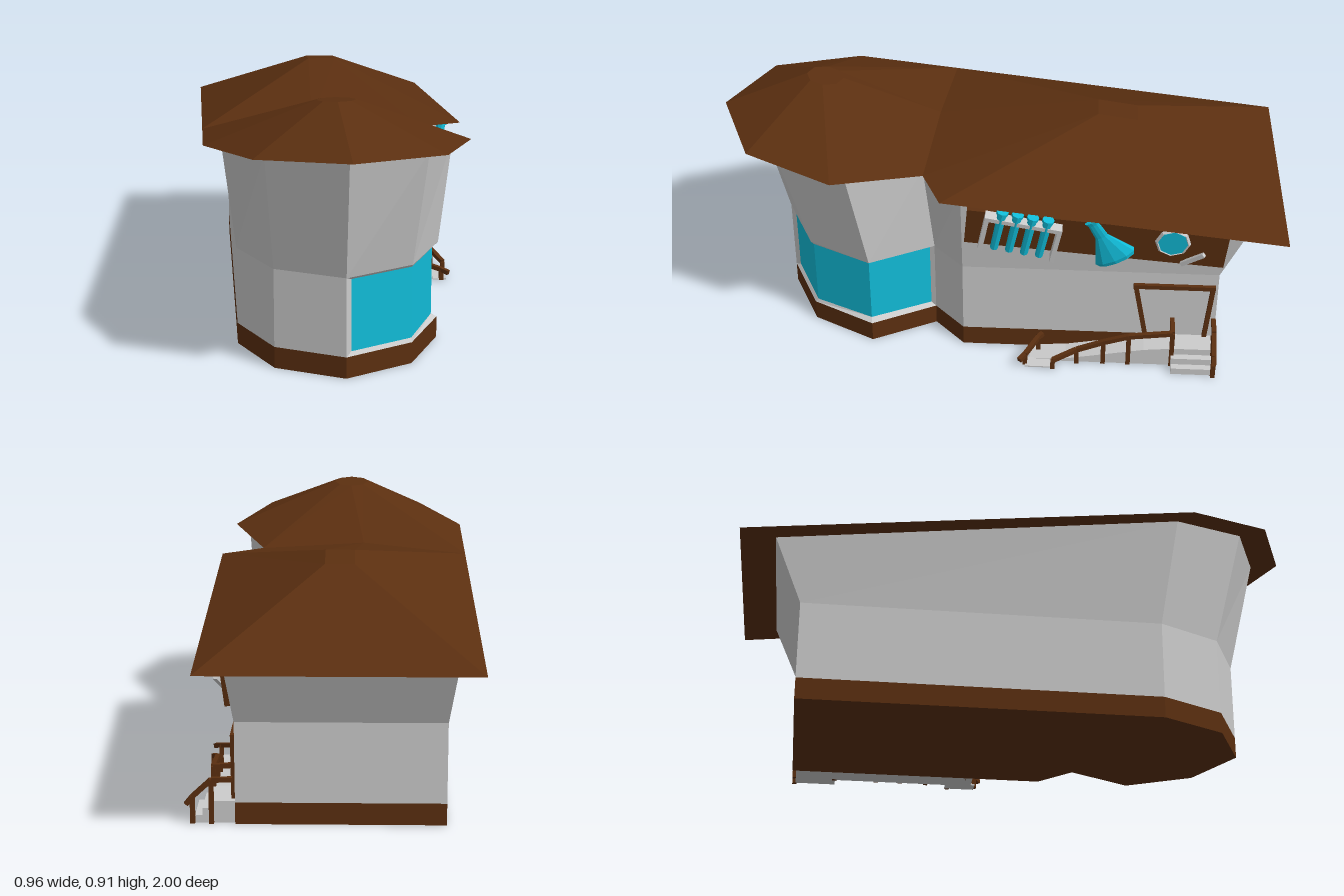
import * as THREE from 'three';

const GREY = new THREE.MeshStandardMaterial({ color: 0xcccccc, flatShading: true });
const BROWN = new THREE.MeshStandardMaterial({ color: 0x5b2f10, flatShading: true });
const CYAN = new THREE.MeshStandardMaterial({ color: 0x11bcd8, flatShading: true });

const V = (x, y, z) => new THREE.Vector3(x, y, z);

function triangles(tris) {
  const geo = new THREE.BufferGeometry().setFromPoints(tris);
  geo.computeVertexNormals();
  return geo;
}

// Quads joining two loops (counter-clockwise seen from outside/above)
function loft(a, b, keep = () => true, closed = true) {
  const out = [];
  const n = a.length;
  for (let i = 0; i < (closed ? n : n - 1); i++) {
    if (!keep(i)) continue;
    const j = (i + 1) % n;
    out.push(a[i], a[j], b[j]);
    out.push(a[i], b[j], b[i]);
  }
  return triangles(out);
}

function cap(loop, up) {
  const flat = loop.map((p) => new THREE.Vector2(p.x, -p.z));
  const out = [];
  for (const [a, b, c] of THREE.ShapeUtils.triangulateShape(flat, [])) {
    out.push(loop[a], loop[up ? b : c], loop[up ? c : b]);
  }
  return triangles(out);
}

function add(parent, name, geo, mat, x = 0, y = 0, z = 0) {
  const mesh = new THREE.Mesh(geo, mat);
  mesh.name = name;
  mesh.position.set(x, y, z);
  parent.add(mesh);
  return mesh;
}

function group(parent, name) {
  const g = new THREE.Group();
  g.name = name;
  parent.add(g);
  return g;
}

// Square bar between two points
function beam(parent, name, a, b, t = 0.016, mat = BROWN) {
  const m = add(parent, name, new THREE.BoxGeometry(t, t, a.distanceTo(b)), mat);
  m.position.copy(a).lerp(b, 0.5);
  m.lookAt(b);
  return m;
}

function buildWalls(root) {
  const plan = [[-0.03, 0.795], [0.2, 0.685], [0.317, 0.46], [0.2, 0.235], [0.317, 0.125],
    [0.317, -0.785], [-0.375, -0.785], [-0.375, 0.46], [-0.26, 0.685]];
  const flare = [[-0.03, 0.898], [0.235, 0.785], [0.35, 0.523], [0.235, 0.265], [0.357, 0.125],
    [0.345, -0.88], [-0.405, -0.88], [-0.42, 0.523], [-0.29, 0.785]];
  const ring = (y) => plan.map(([x, z]) => V(x, y, z));
  const low = ring(0.075), mid = ring(0.35);
  const top = flare.map(([x, z]) => V(x, 0.676 + 0.1125 * z, z));

  const base = group(root, 'plinth');
  add(base, 'plinthSides', loft(ring(0), low), BROWN);
  add(base, 'plinthUnderside', cap(ring(0), false), BROWN);
  add(root, 'lowerWalls', loft(low, mid, (i) => i > 2), GREY);
  add(root, 'flaredUpperWalls', loft(mid, top), GREY);

  // Corner window wrapping three facets, with bevelled surround
  const pane = [[-0.012, 0.775], [0.199, 0.675], [0.296, 0.463], [0.193, 0.253]];
  const paneLow = pane.map(([x, z]) => V(x, 0.088, z));
  const paneTop = pane.map(([x, z]) => V(x, 0.34, z));
  const outer = [...low.slice(0, 4), ...mid.slice(0, 4).reverse()];
  const inner = [...paneLow, ...[...paneTop].reverse()];
  add(root, 'windowSurround', loft(outer, inner), GREY);
  add(root, 'windowPane', loft(paneLow, paneTop, () => true, false), CYAN);
}

function buildRoof(root) {
  const roof = group(root, 'roof');
  const eave = ([x, z]) => V(x, 0.678 + 0.1125 * z, z);
  const valley = V(-0.1, 0.735, 0.23);
  const front = [[-0.03, 1], [0.28, 0.87], [0.405, 0.565], [0.28, 0.26]].map(eave);
  const left = [[-0.48, 0.2], [-0.48, 0.57], [-0.33, 0.87]].map(eave);
  const rear = [[0.43, 0.19], [0.43, -1], [-0.48, -1]].map(eave);

  // Faceted turret roof with a small flat top
  const crown = [];
  for (let i = 0; i < 8; i++) {
    const a = (i * Math.PI) / 4;
    crown.push(V(-0.05 + 0.065 * Math.sin(a), 0.903 + 0.008 * Math.cos(a), 0.635 + 0.065 * Math.cos(a)));
  }
  add(roof, 'turretRoof', loft([...front, valley, ...left], crown), BROWN);
  add(roof, 'turretRoofTop', cap(crown, true), BROWN);

  // Hipped rear roof
  const [a, b, c, d] = [V(0.03, 0.825, -0.34), V(0.03, 0.805, -0.48), V(-0.07, 0.805, -0.48), V(-0.07, 0.825, -0.34)];
  add(roof, 'rearRoof', loft([front[3], ...rear, left[0], valley], [a, a, b, c, d, d]), BROWN);
  add(roof, 'rearRoofTop', cap([a, b, c, d], true), BROWN);
  add(roof, 'soffit', cap([...front, ...rear, left[1], left[2]], false), BROWN);
}

function buildSign(root) {
  // Local x runs along the wall, local z points away from it
  const sign = group(root, 'sign');
  sign.position.set(0.34, 0.52, -0.345);
  sign.rotation.set(0.11, Math.PI / 2, -0.09, 'YXZ');
  add(sign, 'signBoard', new THREE.BoxGeometry(0.91, 0.148, 0.025), BROWN, 0, 0, 0.005);

  const rack = group(sign, 'testTubeRack');
  rack.position.set(-0.264, -0.008, 0.035);
  rack.rotation.z = -0.1;
  add(rack, 'rackBar', new THREE.BoxGeometry(0.27, 0.016, 0.04), GREY, 0, 0.067, 0);
  for (const s of [-1, 1]) {
    add(rack, 'rackLeg', new THREE.BoxGeometry(0.016, 0.15, 0.04), GREY, s * 0.127, 0, 0);
  }
  for (let i = 0; i < 4; i++) {
    const x = (i - 1.5) * 0.053;
    add(rack, 'testTube', new THREE.CylinderGeometry(0.016, 0.014, 0.165, 8), CYAN, x, 0.018, 0.006);
    add(rack, 'testTubeLip', new THREE.CylinderGeometry(0.021, 0.021, 0.012, 8), CYAN, x, 0.1, 0.006);
  }

  // Flattened conical flask
  const profile = [[0, -0.095], [0.07, -0.095], [0.078, -0.08], [0.024, 0.02], [0.02, 0.08], [0.026, 0.095], [0, 0.095]];
  const flask = add(sign, 'flask',
    new THREE.LatheGeometry(profile.map(([x, y]) => new THREE.Vector2(x, y)), 10), CYAN, 0.025, 0.024, 0.045);
  flask.scale.z = 0.38;
  flask.rotation.z = 0.59;

  const glass = group(sign, 'magnifyingGlass');
  glass.position.set(0.262, 0.034, 0.033);
  add(glass, 'lensRing', new THREE.TorusGeometry(0.055, 0.008, 4, 8), GREY);
  add(glass, 'lens', new THREE.CylinderGeometry(0.052, 0.052, 0.012, 8), CYAN).rotation.x = Math.PI / 2;
  beam(glass, 'lensHandle', V(0.042, -0.035, 0), V(0.115, -0.102, 0), 0.015, GREY);
}

function buildEntrance(root) {
  // Door frame, wider at the top
  const door = group(root, 'doorFrame');
  const x = 0.323;
  beam(door, 'doorHead', V(x, 0.295, -0.485), V(x, 0.295, -0.775));
  beam(door, 'doorJamb', V(x, 0.295, -0.493), V(x, 0.078, -0.535));
  beam(door, 'doorJamb', V(x, 0.295, -0.767), V(x, 0.078, -0.748));

  // Landing and steps
  const porch = group(root, 'porch');
  [[0.4, 0.075], [0.425, 0.05], [0.45, 0.025]].forEach(([end, h], i) => {
    const start = i ? 0.375 + 0.025 * i : 0.31;
    add(porch, i ? 'step' : 'landing', new THREE.BoxGeometry(end - start, h, 0.145), GREY,
      (start + end) / 2, h / 2, -0.7);
  });

  // Ramp along the wall with a foot turning outwards
  const side = new THREE.Shape([[0.63, 0], [0.63, 0.075], [0.53, 0.065], [0.25, 0.012], [0.12, 0.004], [0.12, 0]]
    .map(([z, y]) => new THREE.Vector2(z, y)));
  const ramp = add(porch, 'ramp', new THREE.ExtrudeGeometry(side, { depth: 0.09, bevelEnabled: false }), GREY, 0.31, 0, 0);
  ramp.rotation.y = Math.PI / 2;
  add(porch, 'rampFoot', new THREE.BoxGeometry(0.05, 0.005, 0.11), GREY, 0.415, 0.0025, -0.16);

  // Handrails: posts under each point of the rail
  const rails = {
    rampRail: [[0.4, 0.145, -0.63], [0.4, 0.125, -0.475], [0.4, 0.095, -0.385], [0.405, 0.06, -0.29], [0.44, 0.036, -0.205]],
    rampEndRail: [[0.325, 0.063, -0.165], [0.34, 0.058, -0.15], [0.42, 0.042, -0.105], [0.445, 0.034, -0.085]],
    stepRail: [[0.325, 0.152, -0.777], [0.395, 0.15, -0.777], [0.457, 0.092, -0.777], [0.478, 0.066, -0.777]],
  };
  for (const [name, list] of Object.entries(rails)) {
    const g = group(root, name);
    const pts = list.map((p) => V(...p));
    pts.forEach((p, i) => {
      if (i) beam(g, 'handrail', pts[i - 1], p);
      const isEnd = name !== 'rampRail' && (i === 0 || i === pts.length - 1);
      if (!isEnd) add(g, 'post', new THREE.BoxGeometry(0.016, p.y, 0.016), BROWN, p.x, p.y / 2, p.z);
    });
  }
  beam(root, 'landingRail', V(0.325, 0.15, -0.63), V(0.4, 0.145, -0.63));
}

export function createModel() {
  const root = new THREE.Group();
  root.name = 'building';
  buildWalls(root);
  buildRoof(root);
  buildSign(root);
  buildEntrance(root);
  return root;
}
